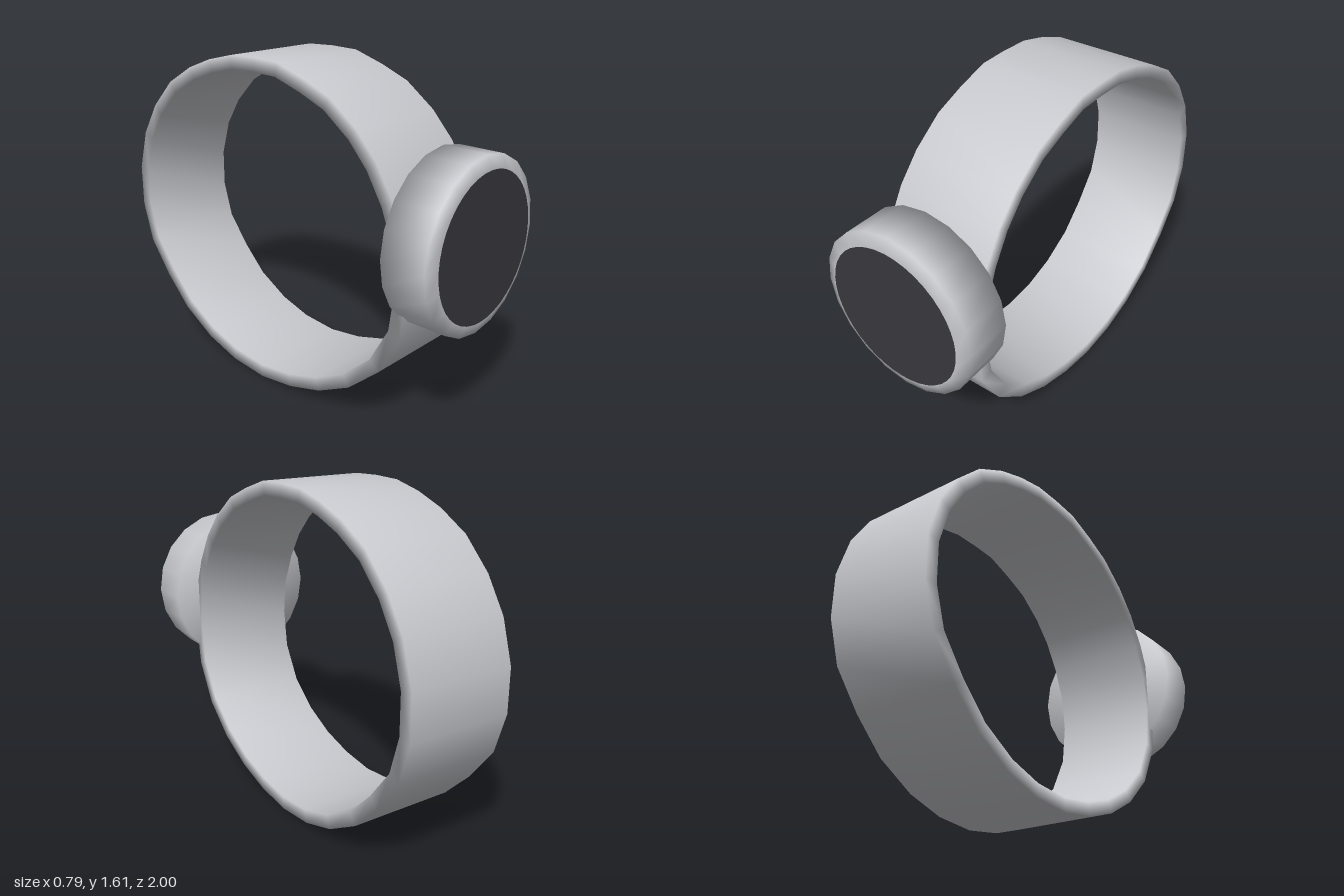
import * as THREE from 'three';

const metal = new THREE.MeshStandardMaterial({ color: 0xc8c9ce });
metal.name = 'silver grey';
const glass = new THREE.MeshStandardMaterial({ color: 0x39383e });
glass.name = 'dark glass';

// Outer outline of the band as [z, y], from the bottom round the back to the front
const OUTLINE = [
  [-0.07, 0], [-0.28, 0.02], [-0.47, 0.08], [-0.66, 0.19], [-0.81, 0.34], [-0.94, 0.51],
  [-1, 0.71], [-1, 0.92], [-0.94, 1.12], [-0.84, 1.28], [-0.70, 1.42], [-0.54, 1.51],
  [-0.39, 1.565], [-0.24, 1.6], [-0.09, 1.605], [0.06, 1.6], [0.22, 1.55], [0.37, 1.49],
  [0.52, 1.38], [0.63, 1.26], [0.72, 1.11], [0.79, 0.93], [0.81, 0.74], [0.78, 0.52],
  [0.67, 0.32], [0.505, 0.175], [0.32, 0.08], [0.13, 0.025],
];

// Closed loop with a rectangular cross-section, shaded smoothly
function bandGeometry(outline, halfWidth, thickness) {
  const n = outline.length;
  const positions = [];
  const index = [];
  outline.forEach(([z, y], i) => {
    const [z0, y0] = outline[(i + n - 1) % n];
    const [z1, y1] = outline[(i + 1) % n];
    const length = Math.hypot(z1 - z0, y1 - y0);
    const innerZ = z + ((y1 - y0) / length) * thickness;
    const innerY = y - ((z1 - z0) / length) * thickness;
    positions.push(
      halfWidth, y, z, -halfWidth, y, z,
      -halfWidth, innerY, innerZ, halfWidth, innerY, innerZ,
    );
    for (let k = 0; k < 4; k++) {
      const a = i * 4 + k;
      const b = i * 4 + ((k + 1) % 4);
      const c = ((i + 1) % n) * 4 + k;
      const d = ((i + 1) % n) * 4 + ((k + 1) % 4);
      index.push(a, b, c, b, d, c);
    }
  });
  const geometry = new THREE.BufferGeometry();
  geometry.setAttribute('position', new THREE.Float32BufferAttribute(positions, 3));
  geometry.setIndex(index);
  geometry.computeVertexNormals();
  return geometry;
}

export function createModel() {
  const model = new THREE.Group();
  model.name = 'watch';

  const band = new THREE.Mesh(bandGeometry(OUTLINE, 0.265, 0.065), metal);
  band.name = 'band';
  model.add(band);

  // Round case with a bevelled front rim, turned to face forward
  const profile = [[0, 0.763], [0.393, 0.763], [0.393, 0.978], [0.333, 0.998], [0, 0.998]]
    .map(([r, h]) => new THREE.Vector2(r, h));
  const watchCase = new THREE.Mesh(new THREE.LatheGeometry(profile, 20), metal);
  watchCase.name = 'case';
  watchCase.rotation.x = Math.PI / 2;
  watchCase.position.y = 0.917;
  model.add(watchCase);

  // Dark face
  const dial = new THREE.Mesh(new THREE.CircleGeometry(0.333, 40), glass);
  dial.name = 'dial';
  dial.position.set(0, 0.917, 1);
  model.add(dial);

  return model;
}
